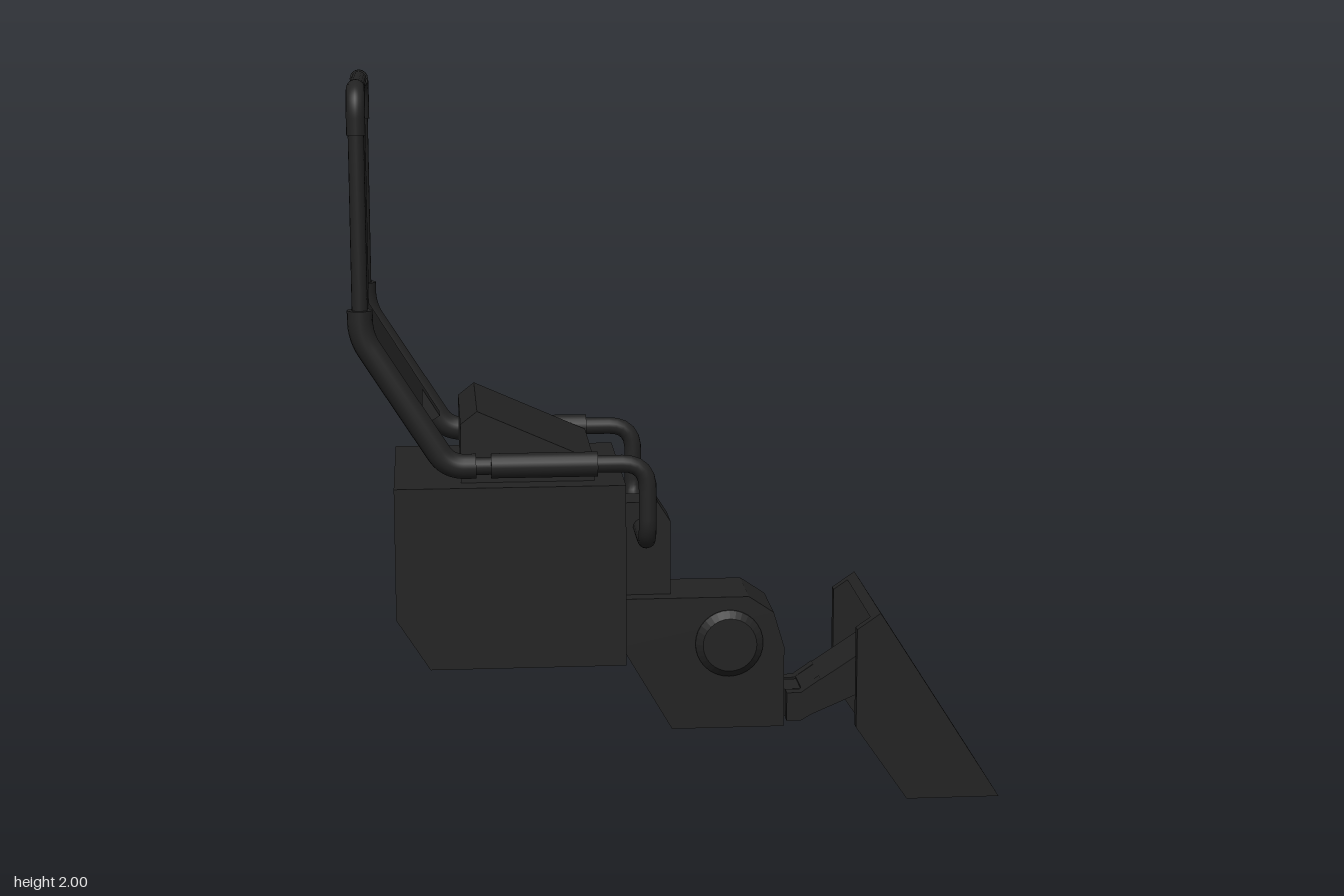
import * as THREE from 'three';

const material = new THREE.MeshStandardMaterial({ color: 0x222222, flatShading: true, side: THREE.DoubleSide });
const smooth = new THREE.MeshStandardMaterial({ color: 0x222222, side: THREE.DoubleSide });

function shapeOf(points) {
  return new THREE.Shape(points.map(([x, y]) => new THREE.Vector2(x, y)));
}

// Side profile (x, y) extruded across z, centred on z = zMid
function slab(name, points, width, zMid = 0) {
  const geo = new THREE.ExtrudeGeometry(shapeOf(points), { depth: width, bevelEnabled: false });
  geo.translate(0, 0, zMid - width / 2);
  const mesh = new THREE.Mesh(geo, material);
  mesh.name = name;
  return mesh;
}

// Panel outline (z, y) extruded along x, centred on x = 0
function panel(name, shape, thickness) {
  const geo = new THREE.ExtrudeGeometry(shape, { depth: thickness, bevelEnabled: false });
  geo.translate(0, 0, -thickness / 2).rotateY(Math.PI / 2);
  const mesh = new THREE.Mesh(geo, material);
  mesh.name = name;
  return mesh;
}

// Round bar along a polyline with rounded corners and flat end caps
function pipe(name, points, radius, bend = 0.07) {
  const p = points.map((q) => new THREE.Vector3(...q));
  const path = new THREE.CurvePath();
  let from = p[0];
  for (let i = 1; i < p.length - 1; i++) {
    const a = p[i].clone().add(p[i - 1].clone().sub(p[i]).setLength(bend));
    const b = p[i].clone().add(p[i + 1].clone().sub(p[i]).setLength(bend));
    path.add(new THREE.LineCurve3(from, a));
    path.add(new THREE.QuadraticBezierCurve3(a, p[i], b));
    from = b;
  }
  path.add(new THREE.LineCurve3(from, p[p.length - 1]));
  const group = new THREE.Group();
  group.name = name;
  group.add(new THREE.Mesh(new THREE.TubeGeometry(path, p.length > 2 ? 96 : 1, radius, 16), smooth));
  for (const t of [0, 1]) {
    const cap = new THREE.Mesh(new THREE.CircleGeometry(radius, 16), smooth);
    const out = path.getTangentAt(t).multiplyScalar(t ? 1 : -1);
    cap.quaternion.setFromUnitVectors(new THREE.Vector3(0, 0, 1), out);
    cap.position.copy(path.getPointAt(t));
    group.add(cap);
  }
  group.children.forEach((m) => { m.name = name; });
  return group;
}

export function createModel() {
  const model = new THREE.Group();
  model.name = 'chair';
  const railZ = 0.27, backX = -0.86;

  // Main body and seat cushion
  model.add(slab('body', [[-0.78, 0.56], [-0.69, 0.42], [-0.16, 0.42], [-0.16, 0.92], [-0.78, 0.92]], 0.59));
  model.add(slab('cushion', [[-0.6, 0.91], [-0.24, 0.91], [-0.24, 0.975], [-0.555, 1.115], [-0.6, 1.08]], 0.45));

  // Backrest: upright panel with rounded top, sloping panel with a notched lower edge
  const upper = new THREE.Shape();
  upper.moveTo(-0.2, 1.34);
  upper.lineTo(0.2, 1.34);
  upper.lineTo(0.2, 1.88);
  upper.quadraticCurveTo(0.2, 1.915, 0.165, 1.915);
  upper.lineTo(-0.165, 1.915);
  upper.quadraticCurveTo(-0.2, 1.915, -0.2, 1.88);
  const upperPanel = panel('backrestUpper', upper, 0.03);
  upperPanel.position.x = backX;
  const lowerPanel = panel('backrestLower', shapeOf([
    [-0.2, 0], [-0.2, -0.37], [-0.13, -0.37], [-0.13, -0.28],
    [0.13, -0.28], [0.13, -0.37], [0.2, -0.37], [0.2, 0],
  ]), 0.03);
  lowerPanel.position.set(backX, 1.345, 0);
  lowerPanel.rotation.z = 0.553;
  model.add(upperPanel, lowerPanel);

  // Back hoop and the front hoop that carries the armrests
  model.add(pipe('backHoop', [
    [backX, 1.36, railZ], [backX, 1.975, railZ], [backX, 1.975, -railZ], [backX, 1.36, -railZ],
  ], 0.021));
  model.add(pipe('frontHoop', [
    [-0.6, 0.975, railZ], [-0.1, 0.975, railZ], [-0.1, 0.75, railZ],
    [-0.1, 0.75, -railZ], [-0.1, 0.975, -railZ], [-0.6, 0.975, -railZ],
  ], 0.024));

  // Sleeves on both sides
  for (const s of [1, -1]) {
    const z = s * railZ;
    model.add(pipe('backRail', [
      [backX, 1.4, z], [backX, 1.33, z], [-0.635, 0.975, z], [-0.56, 0.975, z],
    ], 0.034, 0.045));
    model.add(pipe('armrest', [[-0.52, 0.975, z], [-0.235, 0.975, z]], 0.034));
    model.add(pipe('hoopCorner', [
      [backX, 1.86, z], [backX, 1.975, z], [backX, 1.975, s * 0.19],
    ], 0.025));
  }

  // Front column and knee block
  model.add(slab('column', [[-0.17, 0.5], [-0.02, 0.5], [-0.02, 0.765], [-0.055, 0.82], [-0.16, 0.82]], 0.12));
  model.add(slab('kneeBlock', [
    [-0.16, 0.42], [-0.02, 0.18], [0.295, 0.18], [0.295, 0.41], [0.265, 0.51], [0.195, 0.557], [-0.16, 0.557],
  ], 0.22));

  // Chamfered pivot disc through the knee
  const disc = new THREE.LatheGeometry([
    [0, -0.133], [0.075, -0.133], [0.095, -0.115], [0.095, 0.115], [0.075, 0.133], [0, 0.133],
  ].map(([r, y]) => new THREE.Vector2(r, y)), 32).rotateX(Math.PI / 2);
  const pivot = new THREE.Mesh(disc, material);
  pivot.name = 'kneePivot';
  pivot.position.set(0.14, 0.425, 0);
  model.add(pivot);

  // Ankle link: tongue, forked ends and the arm to the foot plate
  model.add(slab('linkTongue', [[0.29, 0.19], [0.345, 0.19], [0.37, 0.21], [0.36, 0.27], [0.29, 0.27]], 0.1));
  for (const s of [1, -1]) {
    model.add(slab('linkFork', [
      [0.305, 0.19], [0.345, 0.19], [0.37, 0.205], [0.4, 0.225], [0.4, 0.31], [0.345, 0.272], [0.305, 0.272],
    ], 0.037, s * 0.0775));
  }
  model.add(slab('linkArm', [[0.35, 0.195], [0.37, 0.205], [0.66, 0.33], [0.6, 0.44], [0.35, 0.275]], 0.19));

  // Foot plate with side cheeks, open at the back
  model.add(slab('footPlate', [[0.52, 0.518], [0.845, 0], [0.885, 0], [0.545, 0.535]], 0.48));
  for (const s of [1, -1]) {
    model.add(slab('footCheek', [[0.48, 0.49], [0.48, 0.21], [0.625, 0], [0.885, 0], [0.545, 0.535]], 0.03, s * 0.225));
  }
  return model;
}
